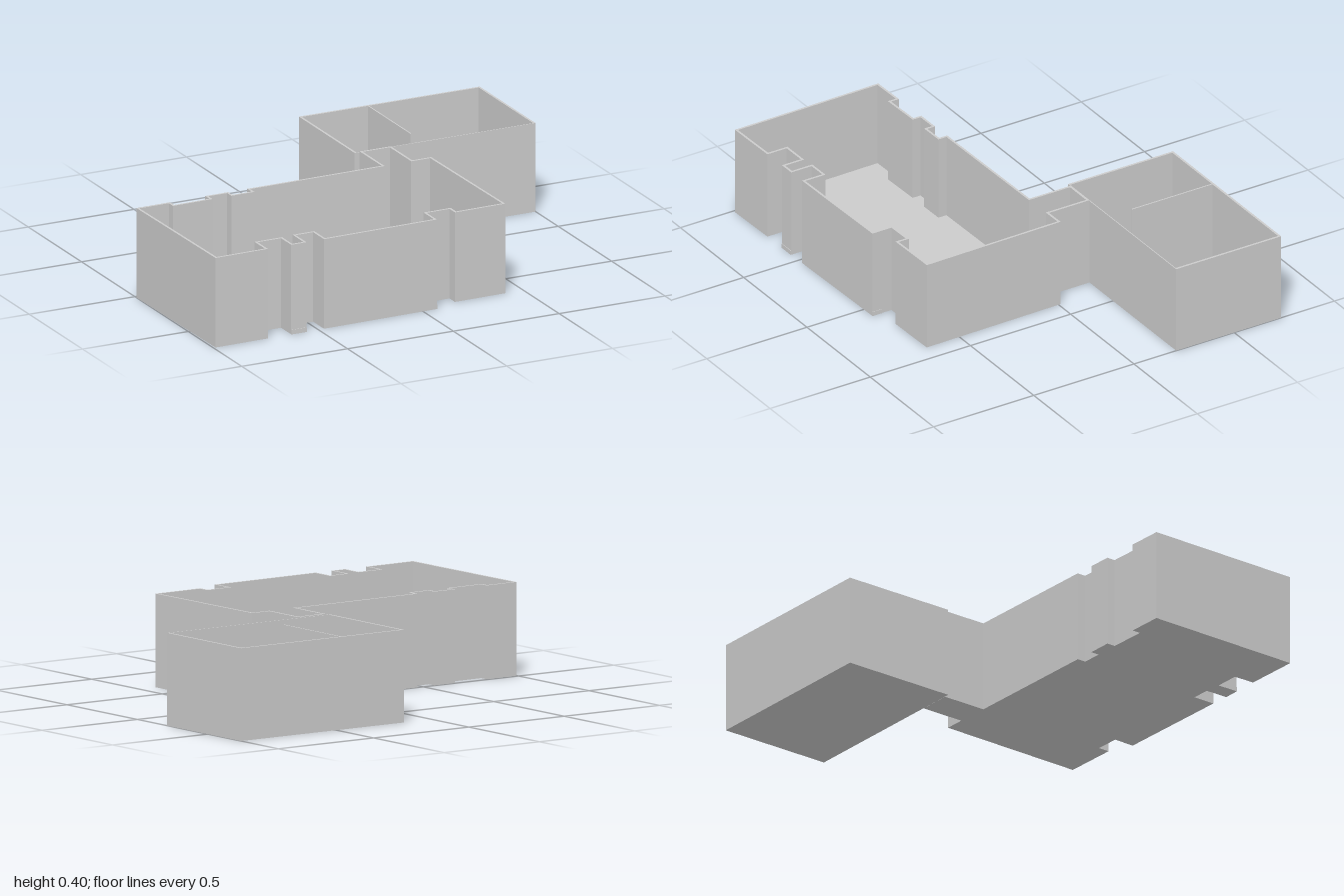
import * as THREE from 'three';

const material = new THREE.MeshStandardMaterial({ color: 0xcccccc, flatShading: true });

// Plan points are [x, z]; shapes are drawn with z flipped, then laid flat.
const toVectors = (plan) => plan.map(([x, z]) => new THREE.Vector2(x, -z));

// Offset every edge inward by t and intersect neighbouring edges.
function inset(plan, t) {
  const n = plan.length;
  const edges = plan.map(([x, z], i) => {
    const [x2, z2] = plan[(i + 1) % n];
    const len = Math.hypot(x2 - x, z2 - z);
    const dx = (x2 - x) / len, dz = (z2 - z) / len;
    return { x: x - dz * t, z: z + dx * t, dx, dz };
  });
  return edges.map((b, i) => {
    const a = edges[(i + n - 1) % n];
    const s = ((b.x - a.x) * b.dz - (b.z - a.z) * b.dx) / (a.dx * b.dz - a.dz * b.dx);
    return [a.x + a.dx * s, a.z + a.dz * s];
  });
}

// Plans run clockwise seen from above, so the hole is reversed to face inward.
function extrudePlan(name, outer, height, inner) {
  const shape = new THREE.Shape(toVectors(outer));
  if (inner) shape.holes.push(new THREE.Path(toVectors(inner).reverse()));
  const geometry = new THREE.ExtrudeGeometry(shape, { depth: height, bevelEnabled: false });
  geometry.rotateX(-Math.PI / 2);
  const mesh = new THREE.Mesh(geometry, material);
  mesh.name = name;
  return mesh;
}

function makeRoom(name, outer, inner, height) {
  const room = new THREE.Group();
  room.name = name;
  room.add(extrudePlan(name + 'Walls', outer, height, inner));
  // Floor fills the space between the walls
  room.add(extrudePlan(name + 'Floor', inner, 0.02));
  return room;
}

function makeBox(name, size, position) {
  const mesh = new THREE.Mesh(new THREE.BoxGeometry(...size), material);
  mesh.name = name;
  mesh.position.set(...position);
  return mesh;
}

export function createModel() {
  const model = new THREE.Group();
  model.name = 'floorPlan';

  // Main room outline, with niches along the walls and the passage at the back
  const main = [
    // back wall
    [-1, 0.013], [-0.84, 0.01], [-0.84, 0.049], [-0.671, 0.045], [-0.671, 0.006],
    [-0.562, 0.005], [-0.562, 0.044], [-0.471, 0.043], [-0.471, 0.003], [0.168, -0.005],
    // passage
    [0.168, -0.21], [0.315, -0.21], [0.315, -0.009], [0.405, -0.01],
    // front wall
    [0.415, 0.664], [0.175, 0.669], [0.175, 0.618], [0.066, 0.62], [0.066, 0.715],
    [-0.473, 0.726], [-0.473, 0.625], [-0.556, 0.626], [-0.556, 0.727], [-0.629, 0.728],
    [-0.629, 0.633], [-0.74, 0.634], [-0.74, 0.73], [-0.99, 0.735],
  ];
  model.add(makeRoom('mainRoom', main, inset(main, 0.01), 0.4));

  // Back room, with a thinner front wall
  const back = [[0.145, -0.735], [1, -0.735], [1, -0.211], [0.145, -0.211]];
  const backInner = [[0.155, -0.725], [0.99, -0.725], [0.99, -0.215], [0.155, -0.215]];
  const backRoom = makeRoom('backRoom', back, backInner, 0.396);
  model.add(backRoom);

  // Partition standing out from the back wall
  backRoom.add(makeBox('partition', [0.006, 0.396, 0.401], [0.469, 0.198, -0.5255]));

  // Low sills at the front bay and beside the front niche
  model.add(makeBox('baySill', [0.073, 0.02, 0.004], [-0.5925, 0.01, 0.728]));
  model.add(makeBox('nicheSill', [0.004, 0.02, 0.046], [0.066, 0.01, 0.692]));
  return model;
}
